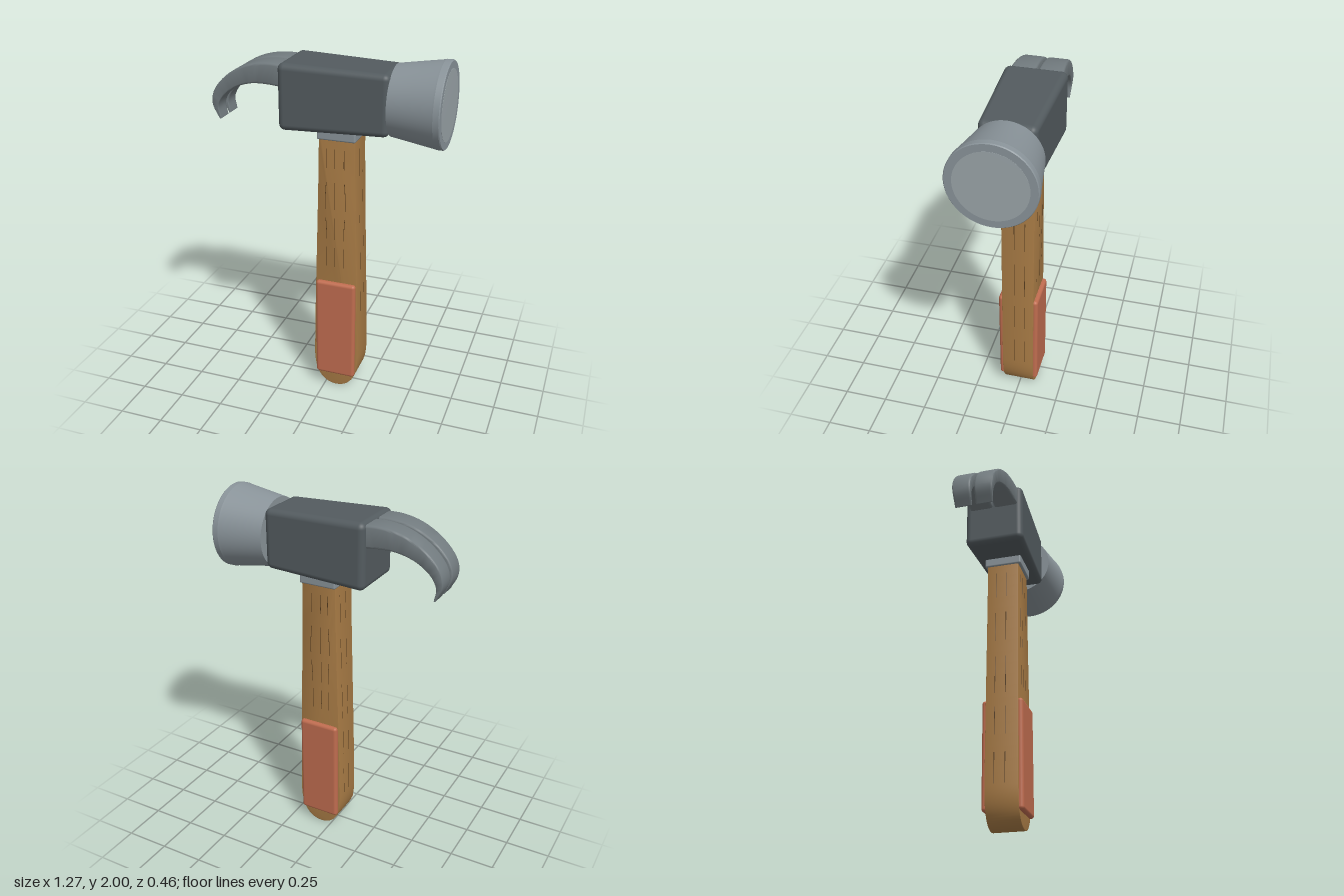
import * as THREE from 'three';
import { toCreasedNormals } from 'three/addons/utils/BufferGeometryUtils.js';
import { RoundedBoxGeometry } from 'three/addons/geometries/RoundedBoxGeometry.js';

const AXIS_X = 0.067; // handle centre line
const HEAD_Y = 1.774; // striking axis height
const mat = (color) => new THREE.MeshStandardMaterial({ color });

function add(parent, name, geometry, material, x = 0, y = 0, z = 0) {
  const mesh = new THREE.Mesh(geometry, material);
  mesh.name = name;
  mesh.position.set(x, y, z);
  parent.add(mesh);
  return mesh;
}

const spline = (points) =>
  new THREE.CatmullRomCurve3(points.map(([x, y]) => new THREE.Vector3(x, y, 0)));

// Half width of the handle at height y (above the rounded butt)
const handleHalf = (y) => {
  const t = Math.max(0, (y - 0.22) / 1.36);
  return 0.132 - 0.032 * (0.55 * t + 0.45 * t * t * (3 - 2 * t));
};

// Flat handle outline with a rounded butt
function handleGeometry() {
  const s = new THREE.Shape();
  s.moveTo(handleHalf(1.62), 1.62);
  s.lineTo(-handleHalf(1.62), 1.62);
  const steps = 20;
  for (let i = 1; i <= steps; i++) {
    const y = 1.62 - (1.4 * i) / steps;
    s.lineTo(-handleHalf(y), y);
  }
  s.bezierCurveTo(-0.134, 0.07, -0.075, 0.006, 0, 0.006);
  s.bezierCurveTo(0.075, 0.006, 0.134, 0.07, 0.132, 0.22);
  for (let i = steps - 1; i > 0; i--) {
    const y = 1.62 - (1.4 * i) / steps;
    s.lineTo(handleHalf(y), y);
  }
  const g = new THREE.ExtrudeGeometry(s, {
    depth: 0.176, curveSegments: 16, bevelEnabled: true,
    bevelThickness: 0.004, bevelSize: 0.004, bevelOffset: -0.004, bevelSegments: 2,
  });
  return toCreasedNormals(g.translate(0, 0, -0.088), 0.6);
}

// One claw prong: rounded rectangular sections swept between an outer and an inner curve
function prongGeometry(side) {
  const outer = spline([[-0.17, 1.935], [-0.3, 1.942], [-0.43, 1.915], [-0.55, 1.845], [-0.625, 1.755], [-0.636, 1.68], [-0.6, 1.6]]);
  const inner = spline([[-0.17, 1.815], [-0.3, 1.826], [-0.4, 1.82], [-0.5, 1.785], [-0.575, 1.725], [-0.602, 1.67], [-0.592, 1.602]]);
  const ring = [];
  const r = 0.22;
  for (let c = 0; c < 4; c++) {
    for (let j = 0; j <= 3; j++) {
      const a = ((c + j / 3) * Math.PI) / 2;
      const cu = c === 0 || c === 3 ? 1 : -1;
      const cv = c < 2 ? 1 : -1;
      ring.push([cu * (1 - r) + r * Math.cos(a), cv * (1 - r) + r * Math.sin(a)]);
    }
  }
  const n = ring.length, rows = 28, pos = [], idx = [];
  const tri = (a, b, c) => (side > 0 ? idx.push(a, b, c) : idx.push(a, c, b));
  for (let i = 0; i <= rows; i++) {
    const t = i / rows;
    const o = outer.getPoint(t), q = inner.getPoint(t);
    const taper = Math.min(1, (-0.17 - o.x) / 0.46);
    const z0 = 0.004 + 0.008 * taper;
    const z1 = 0.146 - 0.032 * taper - 0.012 * Math.max(0, t - 0.75) * 4;
    for (const [u, v] of ring) {
      const p = q.clone().lerp(o, (v + 1) / 2);
      pos.push(p.x, p.y, side * ((z0 + z1) / 2 + (u * (z1 - z0)) / 2));
    }
  }
  for (let i = 0; i < rows; i++) {
    for (let j = 0; j < n; j++) {
      const a = i * n + j, b = i * n + ((j + 1) % n);
      tri(a, a + n, b);
      tri(b, a + n, b + n);
    }
  }
  const last = rows * n;
  for (let j = 1; j < n - 1; j++) {
    tri(0, j, j + 1);
    tri(last, last + j + 1, last + j);
  }
  // Wind the faces outward
  for (let i = 0; i < idx.length; i += 3) [idx[i + 1], idx[i + 2]] = [idx[i + 2], idx[i + 1]];
  const g = new THREE.BufferGeometry();
  g.setAttribute('position', new THREE.Float32BufferAttribute(pos, 3));
  g.setIndex(outwardIndex(pos, idx));
  return toCreasedNormals(g, 0.7);
}

// Reverses the winding when the enclosed volume is negative
function outwardIndex(pos, idx) {
  const at = (i) => new THREE.Vector3().fromArray(pos, idx[i] * 3);
  let volume = 0;
  for (let i = 0; i < idx.length; i += 3) volume += at(i).dot(at(i + 1).cross(at(i + 2)));
  return volume < 0 ? idx.slice().reverse() : idx;
}

// Head block, tapered towards the striking end
function headGeometry() {
  const g = new RoundedBoxGeometry(0.595, 0.36, 0.34, 5, 0.035);
  const p = g.attributes.position;
  for (let i = 0; i < p.count; i++) {
    const t = p.getX(i) / 0.595 + 0.5;
    p.setY(i, p.getY(i) * (1 - 0.095 * t));
    p.setZ(i, p.getZ(i) * (1 - 0.14 * t));
  }
  return g;
}

// Solid turned around the striking axis; points are [radius, x]
function turned(points) {
  const g = new THREE.LatheGeometry(points.map(([r, x]) => new THREE.Vector2(r, x)), 64);
  return toCreasedNormals(g.rotateZ(-Math.PI / 2), 0.15);
}

export function createModel() {
  const root = new THREE.Group();
  root.name = 'clawHammer';
  const wood = mat(0xa87b45), grainWood = mat(0x5c4020), grip = mat(0xbf6c4f);
  const darkSteel = mat(0x535b5f), steel = mat(0x899399), clawSteel = mat(0x727b7f), paleSteel = mat(0x9aa4a8);

  // Handle and grip pads
  const handle = new THREE.Group();
  handle.name = 'handle';
  handle.position.x = AXIS_X;
  root.add(handle);
  add(handle, 'handleShaft', handleGeometry(), wood);
  for (const s of [1, -1]) {
    add(handle, s > 0 ? 'frontGripPad' : 'backGripPad',
      new RoundedBoxGeometry(0.234, 0.615, 0.05, 4, 0.018), grip, 0, 0.397, s * 0.09);
  }

  // Fine grain lines lying in the wood surface
  const grain = (name, y0, y1, at) => {
    const pts = [];
    for (let i = 0; i <= 12; i++) pts.push(at(y0 + ((y1 - y0) * i) / 12));
    add(handle, name, new THREE.TubeGeometry(new THREE.CatmullRomCurve3(pts), 24, 0.0022, 5), grainWood);
  };
  for (const s of [1, -1]) {
    [-0.055, -0.012, 0.042].forEach((x, k) => {
      for (const [y0, y1] of [[0.8, 0.92], [0.97, 1.1], [1.15, 1.31], [1.39, 1.5]]) {
        grain('faceGrain', y0, y1, (y) => new THREE.Vector3(
          x + (k - 1) * 0.01 * Math.exp(-(((y - 1.18) / 0.12) ** 2)), y, s * 0.091));
      }
    });
    for (const z of [0.02, -0.04]) {
      for (const [y0, y1] of [[0.23, 0.4], [0.5, 0.66], [0.74, 0.96], [1.06, 1.24], [1.34, 1.5]]) {
        grain('edgeGrain', y0, y1, (y) => new THREE.Vector3(s * (handleHalf(y) - 0.001), y, z));
      }
    }
  }

  // Collar between handle and head
  add(root, 'collar', new RoundedBoxGeometry(0.215, 0.07, 0.215, 3, 0.01), steel, AXIS_X, 1.585, 0);

  // Head
  const head = new THREE.Group();
  head.name = 'head';
  root.add(head);
  add(head, 'headBlock', headGeometry(), darkSteel, 0.0625, HEAD_Y, 0);
  add(head, 'poll', turned([[0, 0.355], [0.188, 0.355], [0.225, 0.588], [0.228, 0.6], [0.228, 0.63], [0.224, 0.635], [0, 0.635]]),
    steel, 0, HEAD_Y, 0);
  add(head, 'strikingFace', turned([[0, 0.62], [0.186, 0.62], [0.186, 0.636], [0, 0.637]]), paleSteel, 0, HEAD_Y, 0);

  // Split claw
  for (const s of [1, -1]) add(head, s > 0 ? 'frontClaw' : 'backClaw', prongGeometry(s), clawSteel);

  return root;
}
